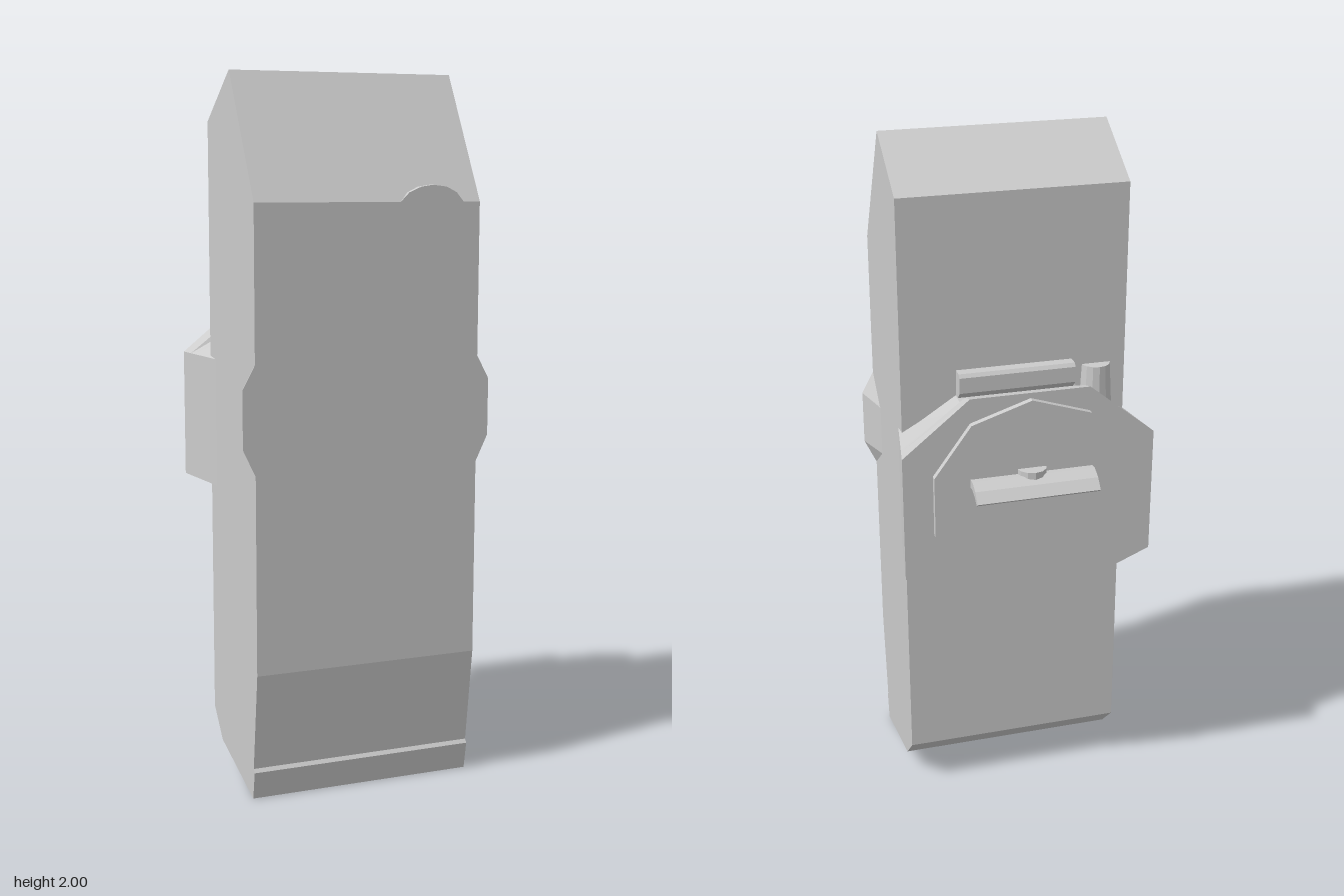
import * as THREE from 'three';

const material = new THREE.MeshStandardMaterial({ color: 0xcccccc, flatShading: true });

export function createModel() {
  const group = new THREE.Group();

  const add = (name, geometry) => {
    const mesh = new THREE.Mesh(geometry, material);
    mesh.name = name;
    group.add(mesh);
    return mesh;
  };

  const toShape = (points) => new THREE.Shape(points.map(([a, b]) => new THREE.Vector2(a, b)));

  // Side profile of [z, y] points, extruded across x and centred on cx
  const sideExtrude = (profile, width, cx = 0) =>
    new THREE.ExtrudeGeometry(toShape(profile), { depth: width, bevelEnabled: false })
      .rotateY(-Math.PI / 2)
      .translate(cx + width / 2, 0, 0);

  // Front outline of [x, y] points, extruded from zBack to zFront
  const frontExtrude = (outline, zBack, zFront) =>
    new THREE.ExtrudeGeometry(toShape(outline), { depth: zFront - zBack, bevelEnabled: false })
      .translate(0, 0, zBack);

  // Closed loft through sections {z, pts}, counterclockwise from the front, running backwards
  const loft = (sections) => {
    const n = sections[0].pts.length;
    const positions = sections.flatMap(({ z, pts }) => pts.flatMap(([x, y]) => [x, y, z]));
    const index = [];
    for (let s = 0; s < sections.length - 1; s++) {
      for (let i = 0; i < n; i++) {
        const a = s * n + i, b = s * n + (i + 1) % n;
        index.push(a, a + n, b + n, a, b + n, b);
      }
    }
    const last = (sections.length - 1) * n;
    for (let i = 1; i < n - 1; i++) {
      index.push(0, i, i + 1, last, last + i + 1, last + i);
    }
    const geometry = new THREE.BufferGeometry();
    geometry.setAttribute('position', new THREE.Float32BufferAttribute(positions, 3));
    geometry.setIndex(index);
    const flat = geometry.toNonIndexed();
    flat.computeVertexNormals();
    return flat;
  };

  const mirrored = (pts) => pts.map(([x, y]) => [-x, y]).reverse();

  // Tall slab with a pitched top and chamfered foot
  add('body', sideExtrude([
    [0.295, 0], [0.31, 0.08], [0.302, 0.09], [0.34, 0.37], [0.34, 1.65],
    [0.13, 2], [-0.08, 1.87], [-0.08, 0.145], [0, 0.065],
  ], 0.65));

  // Flared grips on the front edges
  const gripFront = [[0.32, 0.915], [0.36, 1], [0.36, 1.16], [0.32, 1.235]];
  const gripBack = [[0.32, 1], [0.325, 1], [0.325, 1.15], [0.32, 1.15]];
  add('leftGrip', loft([{ z: 0.34, pts: gripFront }, { z: 0.235, pts: gripBack }]));
  add('rightGrip', loft([{ z: 0.34, pts: mirrored(gripFront) }, { z: 0.235, pts: mirrored(gripBack) }]));

  // Small rounded tab at the foot of the sloping top
  add('frontTab', frontExtrude(
    [[0.085, 1.645], [0.115, 1.675], [0.15, 1.69], [0.185, 1.695], [0.225, 1.69], [0.255, 1.675], [0.28, 1.645]],
    0.27, 0.34));

  // Eight-sided housing on the back, flaring outwards
  const octagon = (side, low, high, bottom, top) => {
    const right = [[0.17, bottom], [side, low], [side, high], [0.17, top]];
    return [...right, ...mirrored(right)];
  };
  add('rearHousing', loft([
    { z: -0.03, pts: octagon(0.325, 0.83, 1.2, 0.8, 1.3) },
    { z: -0.178, pts: octagon(0.349, 0.83, 1.2, 0.8, 1.3) },
    { z: -0.195, pts: octagon(0.352, 0.83, 1.2, 0.75, 1.34) },
    { z: -0.245, pts: octagon(0.36, 0.83, 1.2, 0.75, 1.355) },
  ]));

  // Tapered block under the housing
  add('lowerBlock', frontExtrude(
    [[-0.2, 0.655], [0.2, 0.655], [0.31, 0.83], [-0.31, 0.83]], -0.195, -0.06));

  // Ten-sided dial with a curved handle
  add('dial', new THREE.CylinderGeometry(0.29, 0.29, 0.038, 10)
    .rotateX(Math.PI / 2).translate(0, 1.05, -0.244));
  add('handle', sideExtrude([
    [-0.255, 1.1], [-0.255, 1.125], [-0.285, 1.127], [-0.315, 1.112],
    [-0.34, 1.085], [-0.33, 1.077], [-0.305, 1.095], [-0.28, 1.104],
  ], 0.35));
  add('handleBoss', new THREE.CylinderGeometry(0.042, 0.042, 0.055, 12)
    .translate(0, 1.113, -0.258));

  // Bar and post along the top of the housing
  add('topBar', sideExtrude([
    [-0.07, 1.33], [-0.07, 1.375], [-0.112, 1.375], [-0.12, 1.365], [-0.12, 1.32], [-0.1, 1.3], [-0.07, 1.3],
  ], 0.335));
  add('topPost', new THREE.CylinderGeometry(0.042, 0.05, 0.14, 14)
    .translate(-0.24, 1.285, -0.075));

  return group;
}
